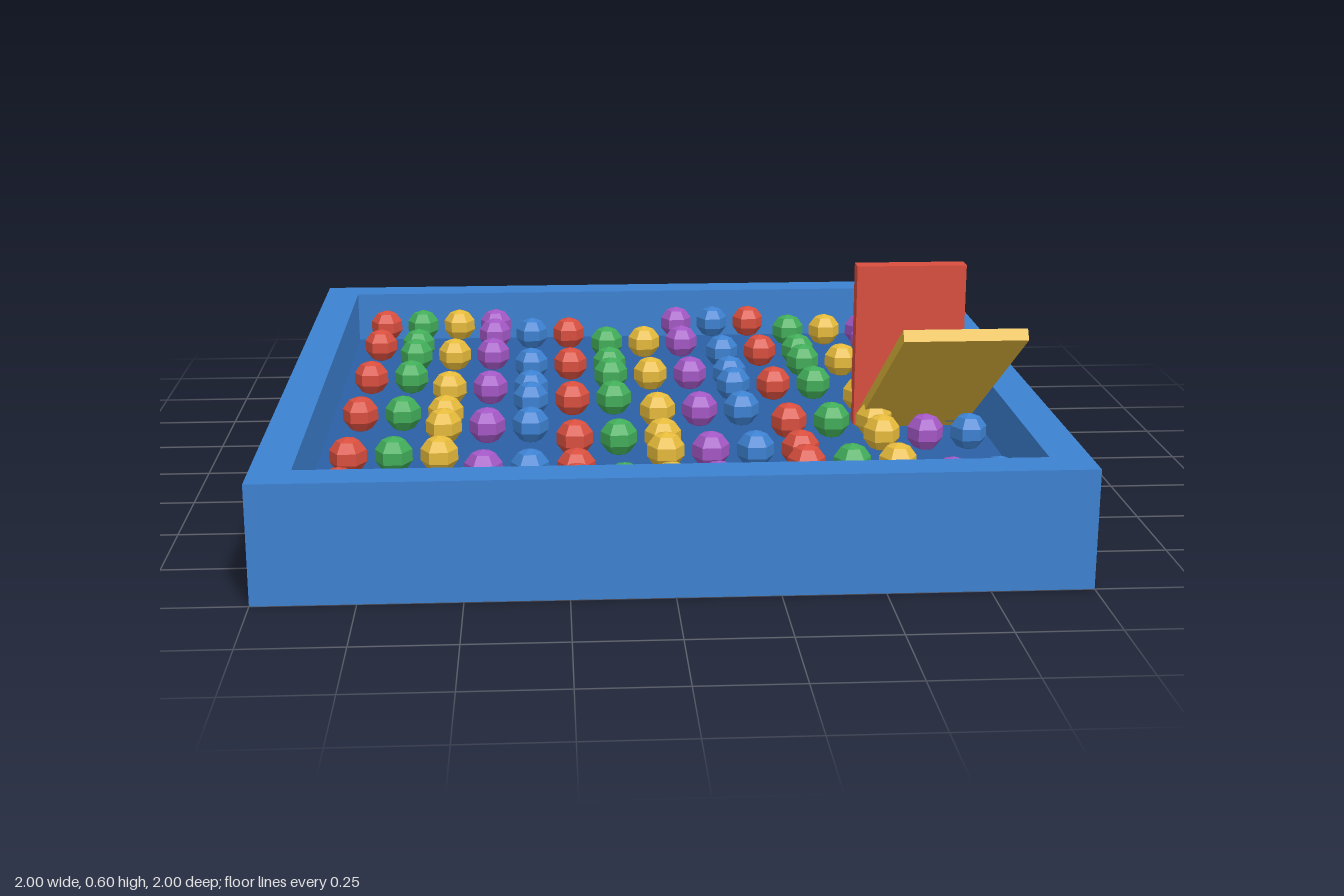
import * as THREE from 'three';

const mat = (name, color, flatShading = false) => {
  const m = new THREE.MeshStandardMaterial({ color, flatShading });
  m.name = name;
  return m;
};

export function createModel() {
  const model = new THREE.Group();
  model.name = 'ballPit';

  const blue = mat('blue', 0x3d82d2, true);
  const floorBlue = mat('deepBlue', 0x2c60a6, true);
  const red = mat('red', 0xd94f3f, true);
  const green = mat('green', 0x42ae5a, true);
  const yellow = mat('yellow', 0xe6bb3c, true);
  const purple = mat('purple', 0xa458c6, true);

  const add = (name, geometry, material, x, y, z, parent = model) => {
    const mesh = new THREE.Mesh(geometry, material);
    mesh.name = name;
    mesh.position.set(x, y, z);
    parent.add(mesh);
    return mesh;
  };

  // Square wall frame, open in the middle
  const square = (Path, h) => new Path([[-h, -h], [h, -h], [h, h], [-h, h]].map(([x, y]) => new THREE.Vector2(x, y)));
  const frame = square(THREE.Shape, 1);
  frame.holes.push(square(THREE.Path, 0.9));
  const frameGeometry = new THREE.ExtrudeGeometry(frame, { depth: 0.3, bevelEnabled: false });
  frameGeometry.rotateX(-Math.PI / 2);
  add('walls', frameGeometry, blue, 0, 0, 0);

  // Raised floor inside the walls
  add('floor', new THREE.BoxGeometry(1.8, 0.148, 1.8), floorBlue, 0, 0.076, 0);

  // Upright panel and tilted slide
  add('panel', new THREE.BoxGeometry(0.3, 0.6, 0.05), red, 0.7, 0.3, 0.1);
  const slide = add('slide', new THREE.BoxGeometry(0.3, 0.03, 0.8), yellow, 0.7, 0.379, 0.497);
  slide.rotation.x = -0.55;

  // Balls: occupied columns in each row, colours repeat every five columns
  const rows = [
    [0, 1, 2, 3, 8, 9, 10],
    [3, 4, 5, 11, 12, 13],
    [0, 1, 6, 7, 8, 13, 14],
    [1, 2, 3, 9, 10, 11],
    [4, 5, 6, 11, 12, 13],
    [0, 1, 6, 7, 8, 9, 14],
    [2, 3, 4, 9, 10, 11],
    [4, 5, 6, 12, 13, 14],
    [0, 1, 2, 7, 8, 9, 14],
    [2, 3, 4, 10, 11, 12],
    [5, 6, 7, 12, 13, 14],
    [0, 1, 2, 7, 8, 9, 10],
    [3, 4, 5, 10, 11, 12],
    [0, 5, 6, 7, 8, 13, 14],
  ];
  const ballColours = [red, green, yellow, purple, blue];
  const ballGeometry = new THREE.SphereGeometry(0.05, 6, 5);
  const balls = new THREE.Group();
  balls.name = 'balls';
  model.add(balls);
  rows.forEach((columns, row) => {
    for (const column of columns) {
      add('ball', ballGeometry, ballColours[column % 5],
        -0.803 + column * 0.115, 0.22, -0.803 + row * 0.1226, balls);
    }
  });

  return model;
}
